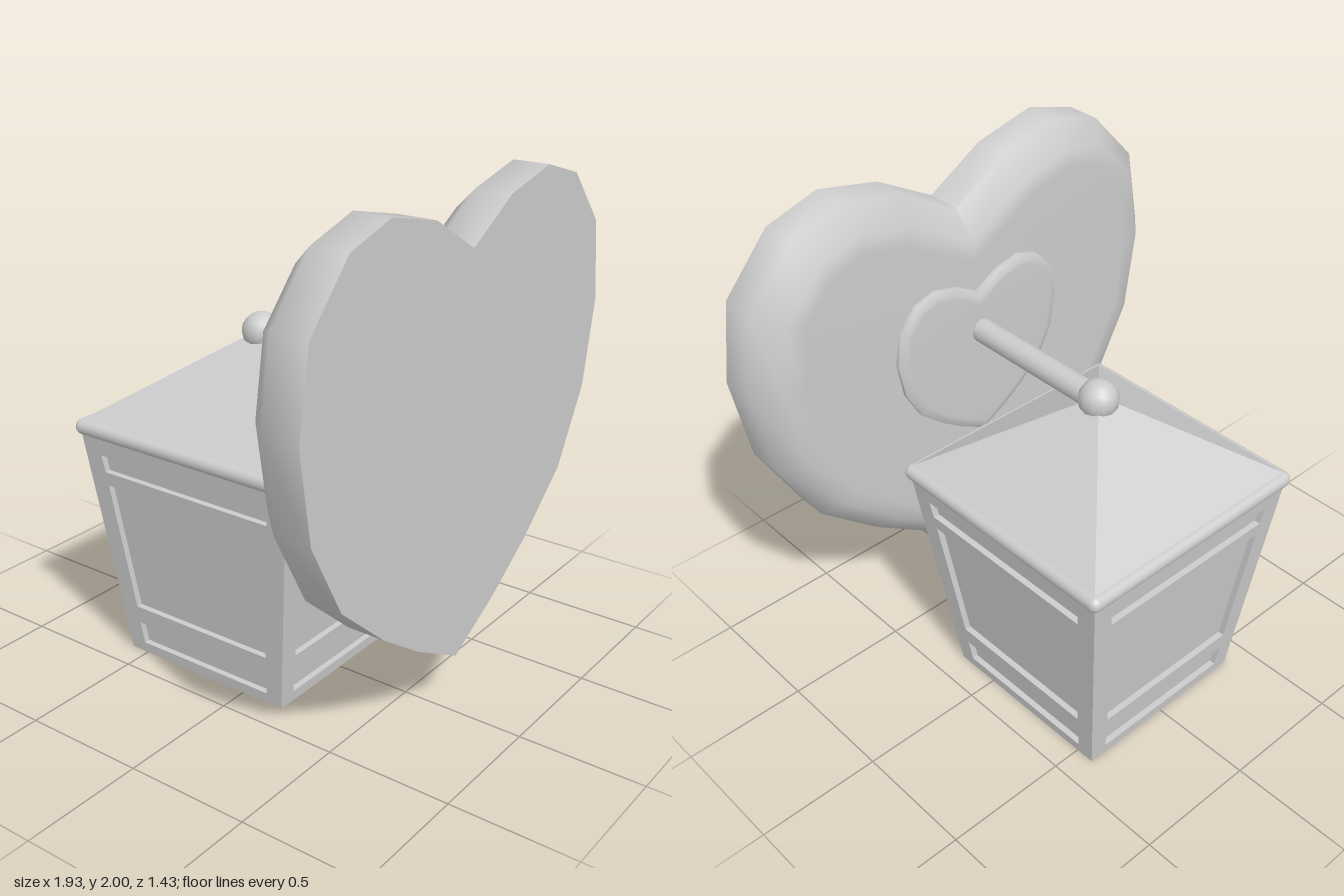
import * as THREE from 'three';
import { toCreasedNormals } from 'three/addons/utils/BufferGeometryUtils.js';
import { RoundedBoxGeometry } from 'three/addons/geometries/RoundedBoxGeometry.js';

const LANTERN_Z = -0.195;
const BODY_TOP = 0.96;
const WALL = 0.025;
const material = new THREE.MeshStandardMaterial({ color: 0xcccccc });

function add(parent, name, geometry, x = 0, y = 0, z = 0) {
  const mesh = new THREE.Mesh(geometry, material);
  mesh.name = name;
  mesh.position.set(x, y, z);
  parent.add(mesh);
  return mesh;
}

// Heart outline: right half mirrored to the left, counter-clockwise
const HALF = [[0.24, 1.94], [0.5, 2], [0.72, 1.935], [0.915, 1.72], [0.965, 1.4],
  [0.905, 1.05], [0.74, 0.75], [0.49, 0.535], [0.26, 0.38]];

function heartOutline(scale, lift) {
  const right = [...HALF].reverse();
  const left = HALF.map(([x, y]) => [-x, y]);
  return [[0, 0.24], ...right, [0, 1.8], ...left]
    .map(([x, y]) => new THREE.Vector2(x * scale, y * scale + lift));
}

// Move every outline point inwards by d, keeping edges parallel
function inset(points, d) {
  const n = points.length;
  const normal = (a, b) => new THREE.Vector2(a.y - b.y, b.x - a.x).normalize();
  return points.map((p, i) => {
    const n1 = normal(points[(i + n - 1) % n], p);
    const n2 = normal(p, points[(i + 1) % n]);
    return p.clone().addScaledVector(n1.clone().add(n2), d / (1 + n1.dot(n2)));
  });
}

// Heart slab from [inset, z] rings, listed front to back
function heartGeometry(scale, lift, rings) {
  const outline = heartOutline(scale, lift);
  const n = outline.length;
  const positions = [];
  const index = [];
  rings.forEach(([d, z]) => inset(outline, d).forEach((p) => positions.push(p.x, p.y, z)));
  for (let k = 0; k < rings.length - 1; k++) {
    for (let i = 0; i < n; i++) {
      const a = k * n + i;
      const b = k * n + (i + 1) % n;
      index.push(a + n, b + n, b, a + n, b, a);
    }
  }
  const last = (rings.length - 1) * n;
  THREE.ShapeUtils.triangulateShape(outline, []).forEach(([a, b, c]) => index.push(a, b, c));
  THREE.ShapeUtils.triangulateShape(inset(outline, rings.at(-1)[0]), [])
    .forEach(([a, b, c]) => index.push(last + a, last + c, last + b));
  const geometry = new THREE.BufferGeometry();
  geometry.setAttribute('position', new THREE.Float32BufferAttribute(positions, 3));
  geometry.setIndex(index);
  return toCreasedNormals(geometry, 1.0);
}

// Square tapered block with flat faces, given half widths
function squareBlock(top, bottom, height) {
  const g = new THREE.CylinderGeometry(top * Math.SQRT2, bottom * Math.SQRT2, height, 4);
  g.rotateY(Math.PI / 4).translate(0, height / 2, 0);
  return toCreasedNormals(g, 0.3);
}

// Half width of the lantern body at height y
const bodyHalf = (y) => 0.383 + 0.112 * (y / BODY_TOP);

function trapezoid(target, y0, half0, y1, half1) {
  target.moveTo(-half0, y0);
  target.lineTo(half0, y0);
  target.lineTo(half1, y1);
  target.lineTo(-half1, y1);
  target.closePath();
  return target;
}

// Leaning wall with three openings, mitred at the corners
function wallGeometry() {
  const shape = trapezoid(new THREE.Shape(), 0, bodyHalf(0), BODY_TOP, bodyHalf(BODY_TOP));
  shape.holes.push(
    trapezoid(new THREE.Path(), 0.045, 0.314, 0.138, 0.324),
    trapezoid(new THREE.Path(), 0.215, 0.328, 0.753, 0.388),
    trapezoid(new THREE.Path(), 0.81, 0.394, 0.88, 0.405),
  );
  const g = new THREE.ExtrudeGeometry(shape, { depth: WALL, bevelEnabled: false });
  const p = g.attributes.position;
  for (let i = 0; i < p.count; i++) {
    const half = bodyHalf(p.getY(i));
    const depth = WALL - p.getZ(i);
    const x = p.getX(i);
    if (Math.abs(x) > half * 0.97) p.setX(i, x * (half - depth) / half);
    p.setZ(i, half - depth);
  }
  g.computeVertexNormals();
  return g;
}

export function createModel() {
  const model = new THREE.Group();
  model.name = 'heartWallLantern';

  // Heart-shaped back plate and the small mount on it
  add(model, 'heartPlate', heartGeometry(1, 0,
    [[0, 0.715], [0, 0.57], [0.09, 0.478], [0.16, 0.475]]));
  add(model, 'heartMount', heartGeometry(0.41, 0.752,
    [[0, 0.48], [0, 0.461], [0.025, 0.446], [0.04, 0.445]]));

  // Arm and ball joint
  const rod = new THREE.CylinderGeometry(0.048, 0.048, 0.66, 16).rotateX(Math.PI / 2);
  add(model, 'arm', rod, 0, 1.327, 0.13);
  add(model, 'ballJoint', new THREE.SphereGeometry(0.077, 12, 10), 0, 1.333, LANTERN_Z);

  // Lantern
  const lantern = new THREE.Group();
  lantern.name = 'lantern';
  lantern.position.z = LANTERN_Z;
  model.add(lantern);

  add(lantern, 'panes', squareBlock(bodyHalf(BODY_TOP) - WALL, bodyHalf(0) - WALL, BODY_TOP));
  const wall = wallGeometry();
  for (let i = 0; i < 4; i++) {
    add(lantern, 'wallFrame', wall).rotation.y = i * Math.PI / 2;
  }

  // Roof with a rounded eave
  add(lantern, 'eave', new RoundedBoxGeometry(1.036, 0.062, 1.036, 4, 0.03), 0, 0.981, 0);
  add(lantern, 'roof', squareBlock(0.001, 0.505, 0.345), 0, 1.0, 0);

  return model;
}
